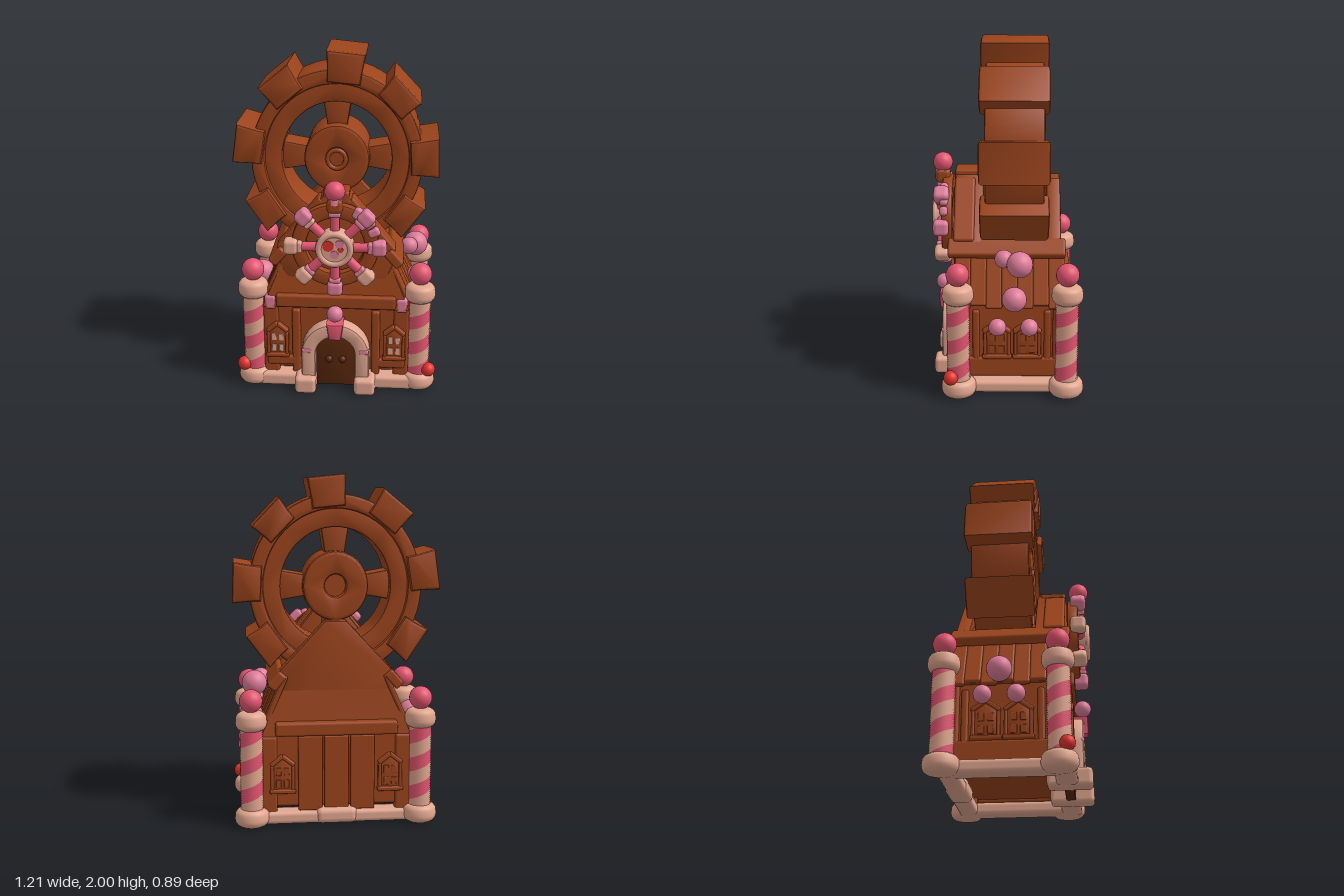
import * as THREE from 'three';
import { toCreasedNormals } from 'three/addons/utils/BufferGeometryUtils.js';
import { RoundedBoxGeometry } from 'three/addons/geometries/RoundedBoxGeometry.js';

const mat = (name, color) => Object.assign(new THREE.MeshStandardMaterial({ color }), { name });
const brown = mat('chocolate', 0x9c441c);
const dark = mat('darkChocolate', 0x5a270d);
const peach = mat('peachIcing', 0xe2a68f);
const pink = mat('hotPink', 0xe45570);
const rose = mat('lightPink', 0xde7c9a);
const red = mat('cherryRed', 0xe0322c);

function add(parent, name, geo, material, x = 0, y = 0, z = 0) {
  const m = new THREE.Mesh(geo, material);
  m.name = name;
  m.position.set(x, y, z);
  parent.add(m);
  return m;
}
function group(parent, name, x = 0, y = 0, z = 0) {
  const g = new THREE.Group();
  g.name = name;
  g.position.set(x, y, z);
  parent.add(g);
  return g;
}
const box = (w, h, d, r = 0.015) => new RoundedBoxGeometry(w, h, d, 2, Math.min(r, w / 2.1, h / 2.1, d / 2.1));
const ball = (r) => new THREE.SphereGeometry(r, 24, 16);
const poly = (pts) => new THREE.Shape(pts.map(([x, y]) => new THREE.Vector2(x, y)));
const mirrored = (half) => poly([...half, ...half.slice().reverse().map(([x, y]) => [-x, y])]);

// Extrudes a shape between two depths with softened edges
function slab(shape, z0, z1, b = 0.01) {
  const g = new THREE.ExtrudeGeometry(shape, {
    depth: z1 - z0 - 2 * b, bevelEnabled: b > 0, bevelThickness: b, bevelSize: b,
    bevelOffset: -b, bevelSegments: 2, curveSegments: 32,
  });
  g.translate(0, 0, z0 + b);
  return toCreasedNormals(g, 0.6);
}
function ring(outer, inner) {
  const s = new THREE.Shape().absarc(0, 0, outer, 0, Math.PI * 2);
  s.holes.push(new THREE.Path().absarc(0, 0, inner, 0, Math.PI * 2, true));
  return s;
}

// Lathe-turned disc with rounded rim
function puck(r, h, round) {
  const pts = [new THREE.Vector2(0, 0)];
  for (let i = 0; i <= 8; i++) {
    const a = -Math.PI / 2 + (i / 8) * Math.PI;
    pts.push(new THREE.Vector2(r - round + Math.cos(a) * round, (i <= 4 ? round : h - round) + Math.sin(a) * round));
  }
  pts.push(new THREE.Vector2(0, h));
  return new THREE.LatheGeometry(pts, 32);
}

// One helical band of a candy pole
function band(r, h, start, length, twist) {
  const g = new THREE.CylinderGeometry(r, r, h, 16, 40, true, start, length);
  const p = g.attributes.position, n = g.attributes.normal, v = new THREE.Vector3();
  const up = new THREE.Vector3(0, 1, 0);
  for (let i = 0; i < p.count; i++) {
    const a = p.getY(i) * twist;
    v.fromBufferAttribute(p, i).applyAxisAngle(up, a);
    p.setXYZ(i, v.x, v.y, v.z);
    v.fromBufferAttribute(n, i).applyAxisAngle(up, a);
    n.setXYZ(i, v.x, v.y, v.z);
  }
  return g;
}

function candyColumn(root, x, z) {
  const g = group(root, 'candyColumn', x, 0, z);
  add(g, 'columnBase', puck(0.1, 0.105, 0.045), peach, 0, 0.01, 0);
  [pink, peach].forEach((m, i) =>
    add(g, 'columnStripe', band(0.066, 0.5, i * Math.PI, Math.PI, Math.PI * 2 / 0.165), m, 0, 0.34, 0));
  add(g, 'columnCap', puck(0.09, 0.11, 0.045), peach, 0, 0.57, 0);
  add(g, 'columnBall', ball(0.066), pink, 0, 0.74, 0);
}

// Peaked window facing +z of its own group; only some have icing panes
function windowUnit(root, x, y, z, ry, w, paneMaterial) {
  const g = group(root, 'window', x, y, z);
  g.rotation.y = ry;
  add(g, 'windowFrame', slab(mirrored([[w, -0.1], [w, 0.05], [0, 0.11]]), -0.01, 0.015, 0.006), brown);
  for (const sx of [-1, 1]) {
    for (const py of [-0.055, 0.015])
      add(g, 'windowPane', box(w * 0.5, 0.045, 0.008, 0.003), paneMaterial, sx * w * 0.38, py, 0.015);
    add(g, 'windowJamb', box(0.02, 0.15, 0.035, 0.008), brown, sx * w, -0.025, 0.01);
    const s = add(g, 'windowGable', box(w * 1.45, 0.024, 0.04, 0.008), brown, sx * w * 0.55, 0.08, 0.01);
    s.rotation.z = -sx * Math.atan(0.06 / w) * 0.85;
  }
  add(g, 'windowSill', box(w * 2.5, 0.025, 0.045, 0.008), brown, 0, -0.1, 0.01);
}

// The gear is slightly taller than wide
function gearWheel(root) {
  const g = group(root, 'gearWheel', -0.01, 1.37, 0);
  g.scale.x = 0.945;
  add(g, 'gearRim', slab(ring(0.525, 0.44), -0.215, 0.115, 0.015), brown);
  add(g, 'gearInnerRim', slab(ring(0.45, 0.335), -0.19, 0.09, 0.012), brown);
  for (const [deg, r] of [[84.6, 0.627], [45, 0.6], [2.5, 0.623], [-38, 0.605], [128, 0.615], [171.4, 0.628], [215, 0.61]])
    add(g, 'gearTooth', slab(mirrored([[0.1, 0.45], [0.102, 0.5], [0.117, r]]), -0.243, 0.145, 0.018), brown)
      .rotation.z = THREE.MathUtils.degToRad(deg - 90);
  const spoke = slab(mirrored([[0.055, 0.15], [0.09, 0.36]]), -0.14, 0.04, 0.012);
  for (let i = 0; i < 4; i++) add(g, 'gearSpoke', spoke, brown).rotation.z = i * Math.PI / 2;
  add(g, 'gearHub', slab(ring(0.2, 0.065), -0.2, 0.1, 0.02), brown);
  add(g, 'gearAxle', new THREE.CylinderGeometry(0.068, 0.068, 0.22, 24), brown, 0, 0, -0.04).rotation.x = Math.PI / 2;
  add(g, 'axleCollar', new THREE.TorusGeometry(0.055, 0.014, 8, 24), brown, 0, 0, 0.1);
}

function candyWheel(root) {
  const g = group(root, 'candyWheel', 0, 0.94, 0.37);
  add(g, 'wheelRing', slab(ring(0.25, 0.165), -0.06, 0.005, 0.015), brown);
  // Caps listed clockwise from the top
  [brown, rose, rose, peach, rose, peach, peach, rose].forEach((cap, i) => {
    const arm = group(g, 'wheelArm');
    arm.rotation.z = -i * Math.PI / 4;
    add(arm, 'wheelSpoke', new THREE.CylinderGeometry(0.028, 0.028, 0.2, 14), pink, 0, 0.15, 0.01);
    add(arm, 'spokeCap', box(0.09, 0.085, 0.09, 0.025), cap, 0, 0.25, 0.005);
    add(arm, 'spokeCollar', box(0.068, 0.03, 0.07, 0.012), i === 6 || i === 7 ? peach : rose, 0, 0.2, 0.007);
  });
  // Icing drips along the upper right of the ring
  for (const a of [0.38, 0.62, 1.0])
    add(g, 'ringIcing', box(0.07, 0.055, 0.05, 0.02), rose, Math.cos(a) * 0.235, Math.sin(a) * 0.235, -0.01).rotation.z = a;
  add(g, 'wheelTopPost', new THREE.CylinderGeometry(0.035, 0.045, 0.06, 16), rose, 0, 0.29, 0.01);
  add(g, 'wheelTopBall', ball(0.058), pink, 0, 0.33, 0.005);
  add(g, 'wheelHub', puck(0.11, 0.1, 0.025), peach, 0, 0, -0.045).rotation.x = Math.PI / 2;
  add(g, 'hubRim', new THREE.TorusGeometry(0.09, 0.018, 10, 32), peach, 0, 0, 0.05);
  // Painted patches on the hub
  [[-0.035, 0.022, 0.032, red], [0.028, 0.035, 0.024, rose], [0.0, -0.03, 0.024, rose], [0.035, 0, 0.016, red]].forEach(([x, y, r, m]) =>
    add(g, 'hubPatch', new THREE.CylinderGeometry(r, r, 0.006, 16), m, x, y, 0.057).rotation.x = Math.PI / 2);
}

function doorway(root) {
  const g = group(root, 'doorway');
  const arch = (r, y0) => new THREE.Shape().moveTo(r, y0).lineTo(r, 0.25).absarc(0, 0.25, r, 0, Math.PI).lineTo(-r, y0);
  const frame = arch(0.2, 0.05);
  frame.lineTo(-0.115, 0.05).lineTo(-0.115, 0.25).absarc(0, 0.25, 0.115, Math.PI, 0, true).lineTo(0.115, 0.05);
  add(g, 'doorFrame', slab(frame, 0.27, 0.385, 0.018), peach);
  add(g, 'door', slab(arch(0.117, 0.02), 0.27, 0.325, 0.008), dark);
  for (const s of [-1, 1]) {
    add(g, 'doorKnob', ball(0.022), dark, s * 0.04, 0.195, 0.325);
    add(g, 'doorFoot', box(0.125, 0.105, 0.25, 0.025), peach, s * 0.175, 0.06, 0.305);
    add(g, 'archIcing', box(0.06, 0.03, 0.12, 0.012), rose, s * 0.168, 0.275, 0.329);
  }
  add(g, 'keystone', slab(mirrored([[0.035, 0.36], [0.05, 0.46]]), 0.28, 0.41, 0.012), pink);
  add(g, 'keystoneBall', ball(0.048), rose, 0, 0.52, 0.38);
}

function house(root) {
  const g = group(root, 'house');
  add(g, 'walls', box(0.82, 0.45, 0.64, 0.02), brown, 0, 0.335, -0.025);
  // Corner posts, rails and planks
  for (const s of [-1, 1]) {
    for (const z of [0.265, -0.315]) add(g, 'cornerPost', box(0.09, 0.46, 0.09), brown, s * 0.385, 0.3, z);
    add(g, 'frontPost', box(0.05, 0.42, 0.05), brown, s * 0.235, 0.3, 0.295);
    add(g, 'frontRail', box(0.18, 0.06, 0.05), brown, s * 0.32, 0.17, 0.295);
    add(g, 'sideRail', box(0.04, 0.12, 0.56), brown, s * 0.41, 0.15, -0.03);
    for (const z of [0.17, -0.24]) add(g, 'sidePost', box(0.03, 0.4, 0.04), brown, s * 0.412, 0.3, z);
    windowUnit(g, s * 0.345, 0.315, 0.31, 0, 0.055, peach);
    for (const z of [0.05, -0.125]) windowUnit(g, s * 0.415, 0.32, z, s * Math.PI / 2, 0.068, brown);
    windowUnit(g, s * 0.31, 0.31, -0.345, Math.PI, 0.06, brown);
    add(g, 'corbel', box(0.07, 0.09, 0.07, 0.02), rose, s * 0.385, 0.555, 0.295);
  }
  for (const x of [-0.15, 0, 0.15]) add(g, 'backPlank', box(0.14, 0.44, 0.03, 0.008), brown, x, 0.31, -0.345);
  add(g, 'eave', box(0.7, 0.08, 0.735), brown, 0, 0.575, -0.02);

  // Lower roof: a box drawn in towards its top
  const skirt = new THREE.BoxGeometry(1, 1, 1);
  const p = skirt.attributes.position;
  for (let i = 0; i < p.count; i++) {
    const top = p.getY(i) > 0;
    p.setXYZ(i, Math.sign(p.getX(i)) * (top ? 0.27 : 0.43), top ? 0.9 : 0.53, p.getZ(i) > 0 ? (top ? 0.27 : 0.33) : (top ? -0.3 : -0.35));
  }
  skirt.computeVertexNormals();
  add(g, 'lowerRoof', skirt, brown);
  for (const s of [-1, 1])
    for (let i = 0; i < 7; i++) {
      const t = add(g, 'roofShingle', box(0.03, 0.39 - (i % 2) * 0.02, 0.092, 0.012), brown, s * 0.362, 0.695 + (i % 2) * 0.008, 0.245 - i * 0.089);
      t.rotation.z = s * Math.atan(0.16 / 0.37);
    }
  // Upper gables, front and back, with the low core that carries the gear
  const gable = (top) => mirrored([[0.26, 0.63], [0.32, 0.78], [0.36, 0.86], [0.06, top]]);
  add(g, 'frontGable', slab(gable(1.23), 0.13, 0.3, 0.015), brown);
  add(g, 'backGable', slab(gable(1.185), -0.315, -0.235, 0.012), brown);
  add(g, 'roofCore', slab(mirrored([[0.3, 0.65], [0.34, 0.85], [0.16, 1.0]]), -0.25, 0.15, 0.01), brown);
  for (const s of [-1, 1]) {
    const a = add(g, 'roofVerge', box(0.11, 0.06, 0.67), brown, s * 0.335, 0.845, -0.005);
    a.rotation.z = -s * 0.85;
    const b = add(g, 'gableBoard', box(0.4, 0.06, 0.12), brown, s * 0.2, 1.03, 0.24);
    b.rotation.z = -s * 0.89;
  }
  add(g, 'gableCap', box(0.15, 0.1, 0.15), brown, 0, 1.19, 0.225);
}

function foundation(root) {
  const g = group(root, 'foundation');
  for (const s of [-1, 1]) {
    add(g, 'sideCurb', box(0.13, 0.075, 0.62, 0.025), peach, s * 0.43, 0.053, -0.04);
    add(g, 'frontCurb', box(0.26, 0.085, 0.12, 0.025), peach, s * 0.33, 0.055, 0.29);
  }
  add(g, 'backCurb', box(0.9, 0.075, 0.11, 0.025), peach, 0, 0.053, -0.325);
  add(g, 'backCurbStone', box(0.24, 0.095, 0.13, 0.035), peach, 0, 0.06, -0.325);
}

export function createModel() {
  const root = new THREE.Group();
  root.name = 'candyClockHouse';
  foundation(root);
  house(root);
  doorway(root);
  gearWheel(root);
  candyWheel(root);
  for (const s of [-1, 1]) {
    candyColumn(root, s * 0.49, 0.267);
    candyColumn(root, s * 0.485, -0.348);
    add(root, 'cherry', ball(0.042), red, s * 0.55, 0.14, 0.31);
    // Gumdrops on the side walls
    add(root, 'gumdrop', ball(0.07), rose, s * 0.48, 0.59, -0.05);
    for (const z of [0.045, -0.135]) add(root, 'gumdrop', ball(0.05), rose, s * 0.51, 0.435, z);
  }
  add(root, 'roofGumdrop', ball(0.052), rose, 0.42, 0.81, 0.01);
  add(root, 'roofGumdrop', ball(0.074), rose, 0.46, 0.79, -0.08);
  return root;
}
